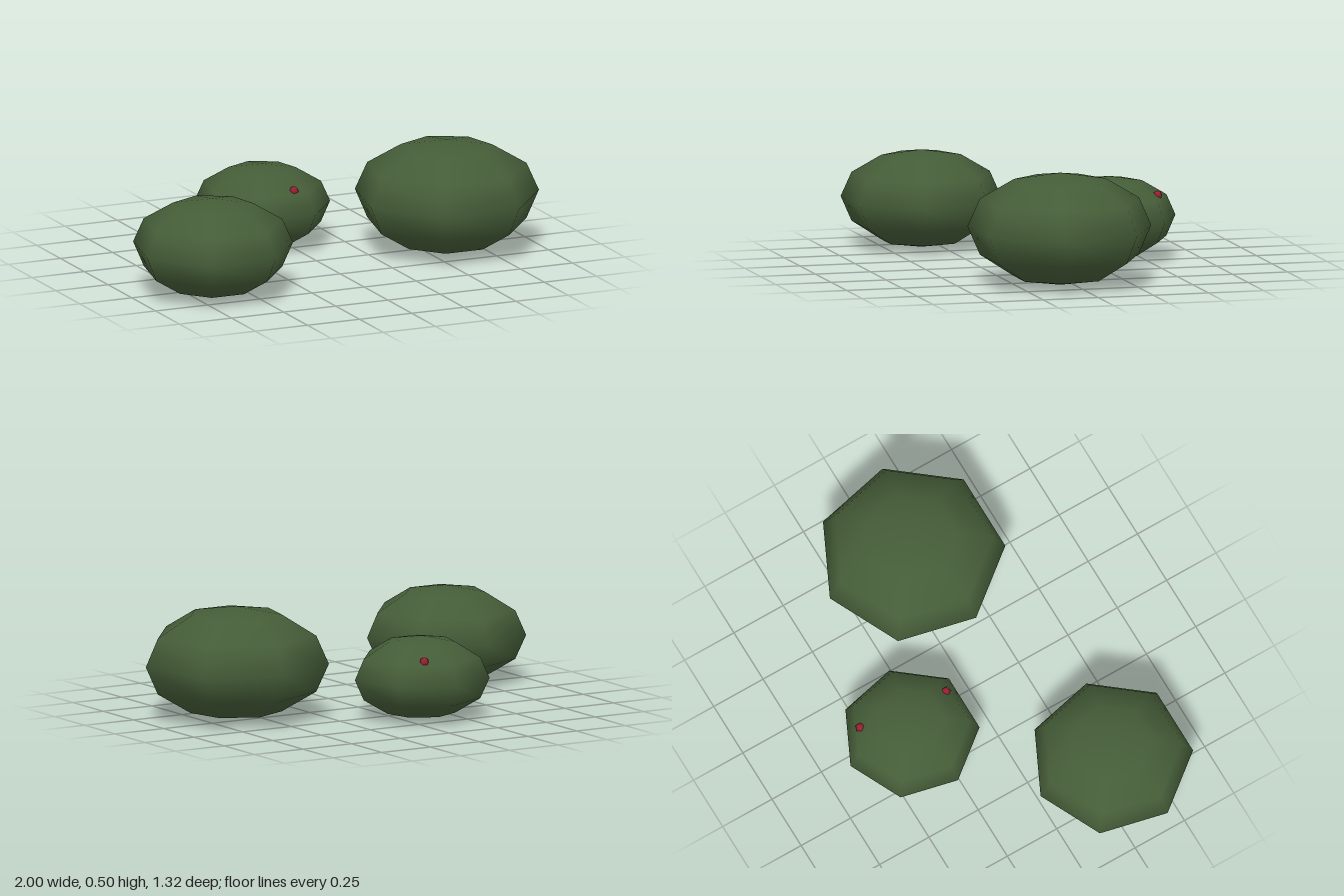
import * as THREE from 'three';

export function createModel() {
  const group = new THREE.Group();
  const leaf = new THREE.MeshStandardMaterial({ color: 0x455d38 });
  leaf.name = 'leaf green';
  const red = new THREE.MeshStandardMaterial({ color: 0x9b2032 });
  red.name = 'berry red';

  // Squashed seven-sided bushes, each with a corner pointing back
  const bushes = [
    ['largeBush', 0.597, 0.2525, 0.058, 0.412],
    ['mediumBush', -0.651, 0.219, 0.335, 0.358],
    ['smallBush', -0.098, 0.186, -0.357, 0.303],
  ];
  for (const [name, x, y, z, r] of bushes) {
    const geometry = new THREE.SphereGeometry(r, 7, 6);
    geometry.rotateY(-Math.PI / 2);
    geometry.scale(1, 0.6, 1);
    const bush = new THREE.Mesh(geometry, leaf);
    bush.name = name;
    bush.position.set(x, y, z);
    group.add(bush);
  }

  // Berries half sunk into the small bush
  const berryGeometry = new THREE.SphereGeometry(0.022, 5, 4);
  const berries = [
    ['frontBerry', -0.043, 0.288, -0.145],
    ['backBerry', 0.003, 0.288, -0.552],
  ];
  for (const [name, x, y, z] of berries) {
    const berry = new THREE.Mesh(berryGeometry, red);
    berry.name = name;
    berry.position.set(x, y, z);
    group.add(berry);
  }
  return group;
}
